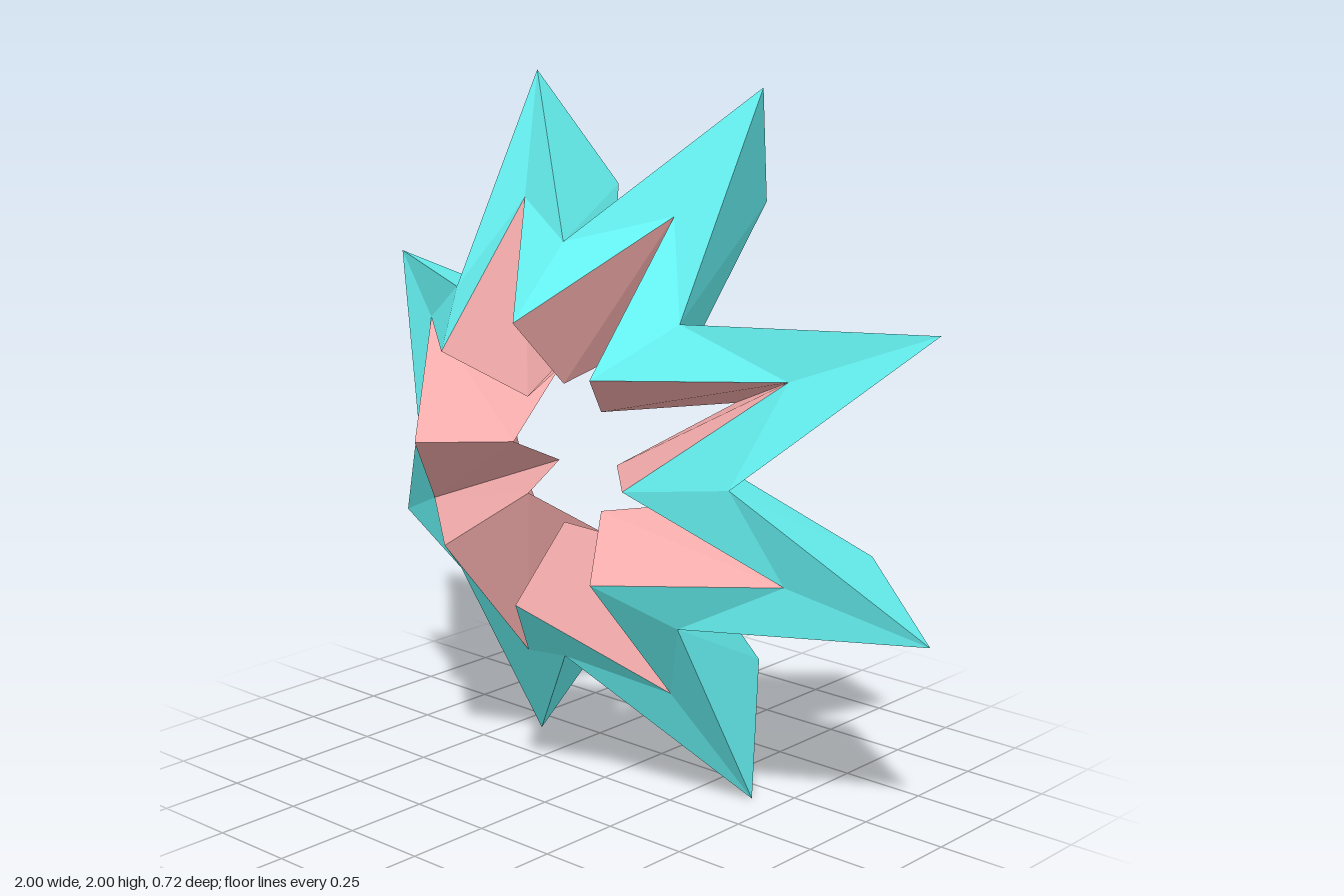
import * as THREE from 'three';

const STEPS = 16; // alternating valleys (even) and star tips (odd)
const HALF = 0.195; // half depth of the diamond cross-section

// Corner j of the diamond section k: 0 outer, 1 front, 2 inner, 3 back
function corner(k, j) {
  const tip = k % 2 === 1;
  const outer = tip ? 1.082 : 0.586;
  const angle = (k * Math.PI * 2) / STEPS;
  const radius = outer * [1, 2 / 3, 1 / 3, 2 / 3][j % 4];
  const z = (tip ? -0.165 : 0.165) + [0, HALF, 0, -HALF][j % 4];
  return [radius * Math.cos(angle), radius * Math.sin(angle), z];
}

// Faceted bands running round the ring, one for each listed side of the diamond
function starBand(name, sides, color) {
  const points = [];
  for (const j of sides) {
    for (let k = 0; k < STEPS; k++) {
      const a = corner(k, j), b = corner(k + 1, j);
      const c = corner(k + 1, j + 1), d = corner(k, j + 1);
      // Folds always join a valley's outer/inner corner to a tip's front/back corner
      const tris = (k + j) % 2 === 0 ? [a, b, c, a, c, d] : [a, b, d, b, c, d];
      points.push(...tris.flat());
    }
  }
  const geometry = new THREE.BufferGeometry();
  geometry.setAttribute('position', new THREE.Float32BufferAttribute(points, 3));
  geometry.computeVertexNormals();
  const mesh = new THREE.Mesh(geometry, new THREE.MeshStandardMaterial({ color, flatShading: true }));
  mesh.name = name;
  mesh.position.y = 1;
  return mesh;
}

export function createModel() {
  const group = new THREE.Group();
  group.name = 'foldedStarRing';
  group.add(starBand('outerStarFaces', [0, 3], 0x66f2f2));
  group.add(starBand('innerStarFaces', [1, 2], 0xf2aaaa));
  return group;
}
